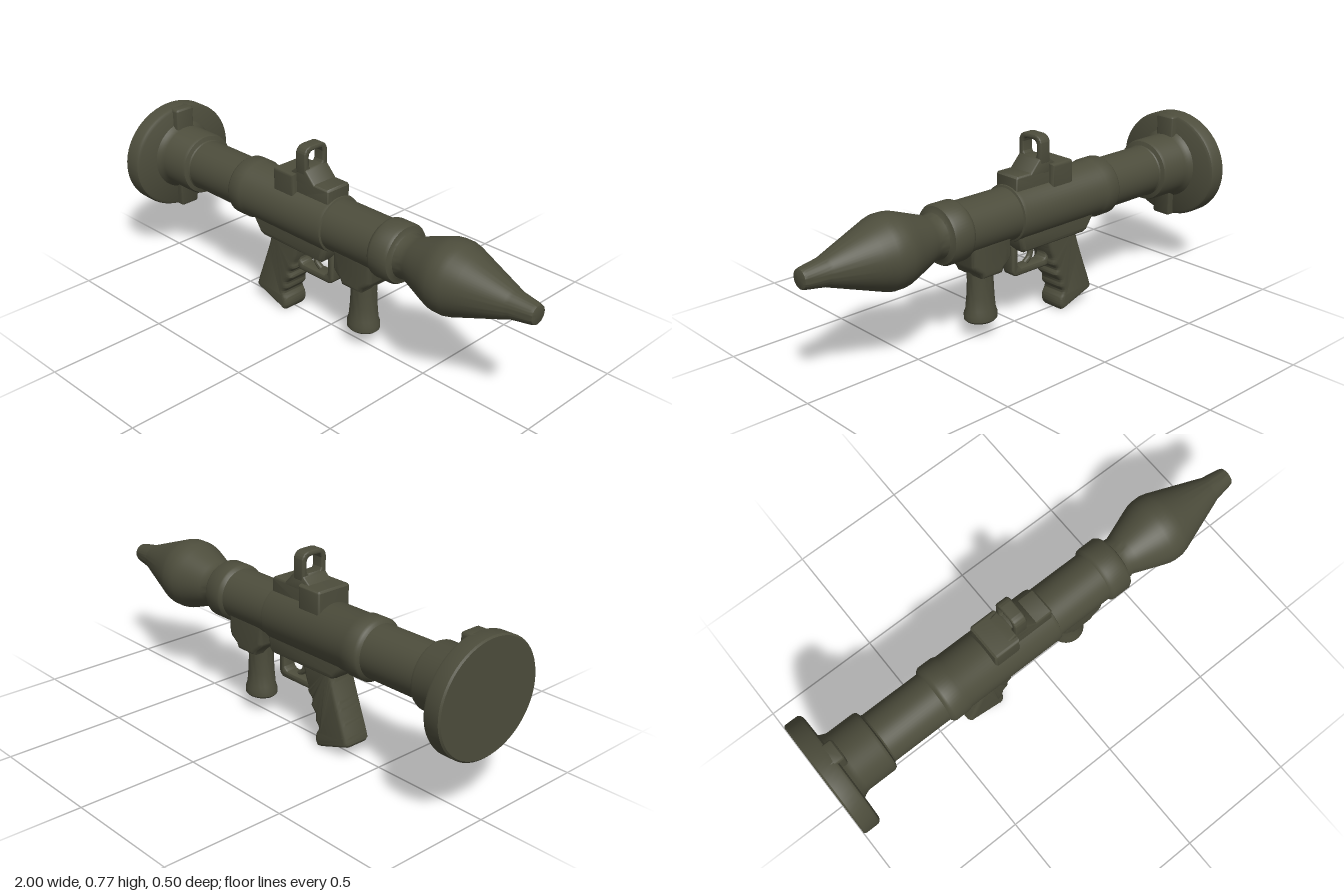
import * as THREE from 'three';
import { toCreasedNormals } from 'three/addons/utils/BufferGeometryUtils.js';

const olive = new THREE.MeshStandardMaterial({ color: 0x4d4d3c });
olive.name = 'olive drab';
const AXIS = 0.48;

export function createModel() {
  const group = new THREE.Group();
  group.name = 'launcher';

  const add = (name, geometry, crease = 0.6) => {
    const mesh = new THREE.Mesh(toCreasedNormals(geometry, crease), olive);
    mesh.name = name;
    group.add(mesh);
    return mesh;
  };
  const vectors = (points) => points.map(([x, y]) => new THREE.Vector2(x, y));

  // Turned part along the barrel axis; profile is [x, radius] from back to front
  const turned = (name, profile) => {
    const points = vectors(profile.map(([x, r]) => [r, x]));
    const geometry = new THREE.LatheGeometry(points, 56).rotateZ(-Math.PI / 2);
    const mesh = add(name, geometry);
    mesh.position.y = AXIS;
    return mesh;
  };

  // Side outline extruded across z with rounded edges that stay inside the outline
  const extruded = (shape, half, bevel) => new THREE.ExtrudeGeometry(shape, {
    depth: 2 * (half - bevel), bevelThickness: bevel, bevelSize: bevel,
    bevelOffset: -bevel, bevelSegments: 4, curveSegments: 10,
  }).translate(0, 0, bevel - half);
  const slab = (name, points, half, bevel) =>
    add(name, extruded(new THREE.Shape(vectors(points)), half, bevel), 0.7);

  // Rectangle with rounded corners
  const roundRect = (x0, y0, x1, y1, r, Type = THREE.Shape) => {
    const s = new Type();
    s.absarc(x1 - r, y0 + r, r, -Math.PI / 2, 0);
    s.absarc(x1 - r, y1 - r, r, 0, Math.PI / 2);
    s.absarc(x0 + r, y1 - r, r, Math.PI / 2, Math.PI);
    s.absarc(x0 + r, y0 + r, r, Math.PI, Math.PI * 1.5);
    s.closePath();
    return s;
  };

  // Rear plate, slightly flattened, with an upright rib on its front
  const plate = turned('rearPlate', [[-1, 0], [-1, 0.245], [-0.994, 0.252],
    [-0.938, 0.252], [-0.928, 0.247], [-0.922, 0.236], [-0.92, 0]]);
  plate.scale.y = 0.905;
  plate.position.y = 0.473;
  const rib = add('rearRib', extruded(roundRect(-0.96, 0.247, -0.893, 0.699, 0.012), 0.045, 0.012));
  rib.position.z = 0;

  // Barrel sections
  turned('rearCollar', [[-0.93, 0.155], [-0.91, 0.14], [-0.89, 0.132], [-0.77, 0.132],
    [-0.758, 0.127], [-0.752, 0.11], [-0.74, 0.104]]);
  turned('barrel', [[-0.8, 0.107], [-0.49, 0.107], [-0.482, 0.118], [-0.472, 0.124],
    [-0.41, 0.124], [-0.395, 0.118], [0.035, 0.118], [0.047, 0.115], [0.05, 0.107],
    [0.295, 0.107], [0.306, 0.118], [0.315, 0.12], [0.385, 0.12], [0.396, 0.113],
    [0.4, 0.097], [0.41, 0.085], [0.41, 0]]);
  turned('warhead', [[0.38, 0.092], [0.41, 0.09], [0.435, 0.086], [0.46, 0.095],
    [0.56, 0.132], [0.59, 0.142], [0.61, 0.145], [0.645, 0.145], [0.67, 0.139],
    [0.72, 0.121], [0.89, 0.06], [0.905, 0.054], [0.985, 0.041], [0.997, 0.037],
    [1, 0.03], [1, 0]]);

  // Sight base and bridge
  slab('sightBlock', [[-0.245, 0.55], [-0.13, 0.55], [-0.13, 0.658], [-0.238, 0.658],
    [-0.245, 0.65]], 0.081, 0.012);
  slab('sightRail', [[-0.15, 0.55], [0.042, 0.55], [0.042, 0.632], [0.034, 0.64],
    [-0.15, 0.64]], 0.06, 0.01);
  slab('sightBridge', [[-0.17, 0.62], [-0.02, 0.62], [-0.035, 0.64], [-0.075, 0.682],
    [-0.085, 0.69], [-0.13, 0.69], [-0.14, 0.678], [-0.17, 0.655]], 0.06, 0.008);

  // Sight loop, facing along the barrel
  const loop = roundRect(-0.061, 0.64, 0.061, 0.778, 0.036);
  loop.holes.push(roundRect(-0.037, 0.684, 0.037, 0.757, 0.02, THREE.Path));
  add('sightLoop', extruded(loop, 0.027, 0.007).rotateY(Math.PI / 2)).position.x = -0.108;

  // Trigger housing under the barrel
  slab('triggerHousing', [[-0.372, 0.44], [-0.37, 0.395], [-0.33, 0.338], [-0.31, 0.33],
    [0.02, 0.33], [0.035, 0.345], [0.045, 0.395], [0.045, 0.44]], 0.085, 0.018);

  // Pistol grip with finger grooves
  const grip = new THREE.Shape();
  grip.moveTo(-0.13, 0.37);
  grip.lineTo(-0.29, 0.37);
  grip.splineThru(vectors([[-0.3, 0.31], [-0.34, 0.2], [-0.375, 0.11], [-0.388, 0.07]]));
  grip.lineTo(-0.38, 0.055);
  grip.lineTo(-0.235, 0.005);
  grip.lineTo(-0.218, 0.004);
  grip.splineThru(vectors([[-0.206, 0.025], [-0.208, 0.055], [-0.222, 0.085], [-0.205, 0.11],
    [-0.205, 0.135], [-0.194, 0.15], [-0.178, 0.17], [-0.184, 0.195], [-0.16, 0.22],
    [-0.16, 0.245], [-0.146, 0.28], [-0.13, 0.33]]));
  add('pistolGrip', extruded(grip, 0.062, 0.02), 0.9);

  // Trigger guard and trigger
  const guard = roundRect(-0.17, 0.212, 0.036, 0.37, 0.028);
  guard.holes.push(roundRect(-0.15, 0.243, 0.006, 0.36, 0.022, THREE.Path));
  add('triggerGuard', extruded(guard, 0.03, 0.009));
  const triggerPath = new THREE.CatmullRomCurve3([[-0.085, 0.345], [-0.09, 0.3],
    [-0.08, 0.265], [-0.055, 0.245]].map(([x, y]) => new THREE.Vector3(x, y, 0)));
  add('trigger', new THREE.TubeGeometry(triggerPath, 14, 0.012, 10));

  // Fore grip mount and handle
  slab('foreGripMount', [[0.08, 0.44], [0.08, 0.415], [0.09, 0.4], [0.088, 0.34], [0.095, 0.325],
    [0.125, 0.3], [0.135, 0.278], [0.235, 0.278], [0.245, 0.3], [0.275, 0.32], [0.287, 0.34],
    [0.287, 0.4], [0.295, 0.415], [0.295, 0.44]], 0.083, 0.018);
  const handle = add('foreGrip', new THREE.LatheGeometry(vectors([[0, 0.074], [0.062, 0.074],
    [0.07, 0.082], [0.07, 0.105], [0.063, 0.125], [0.058, 0.18], [0.055, 0.24],
    [0.057, 0.3]]), 36));
  handle.position.x = 0.182;
  handle.scale.z = 0.88;

  return group;
}
